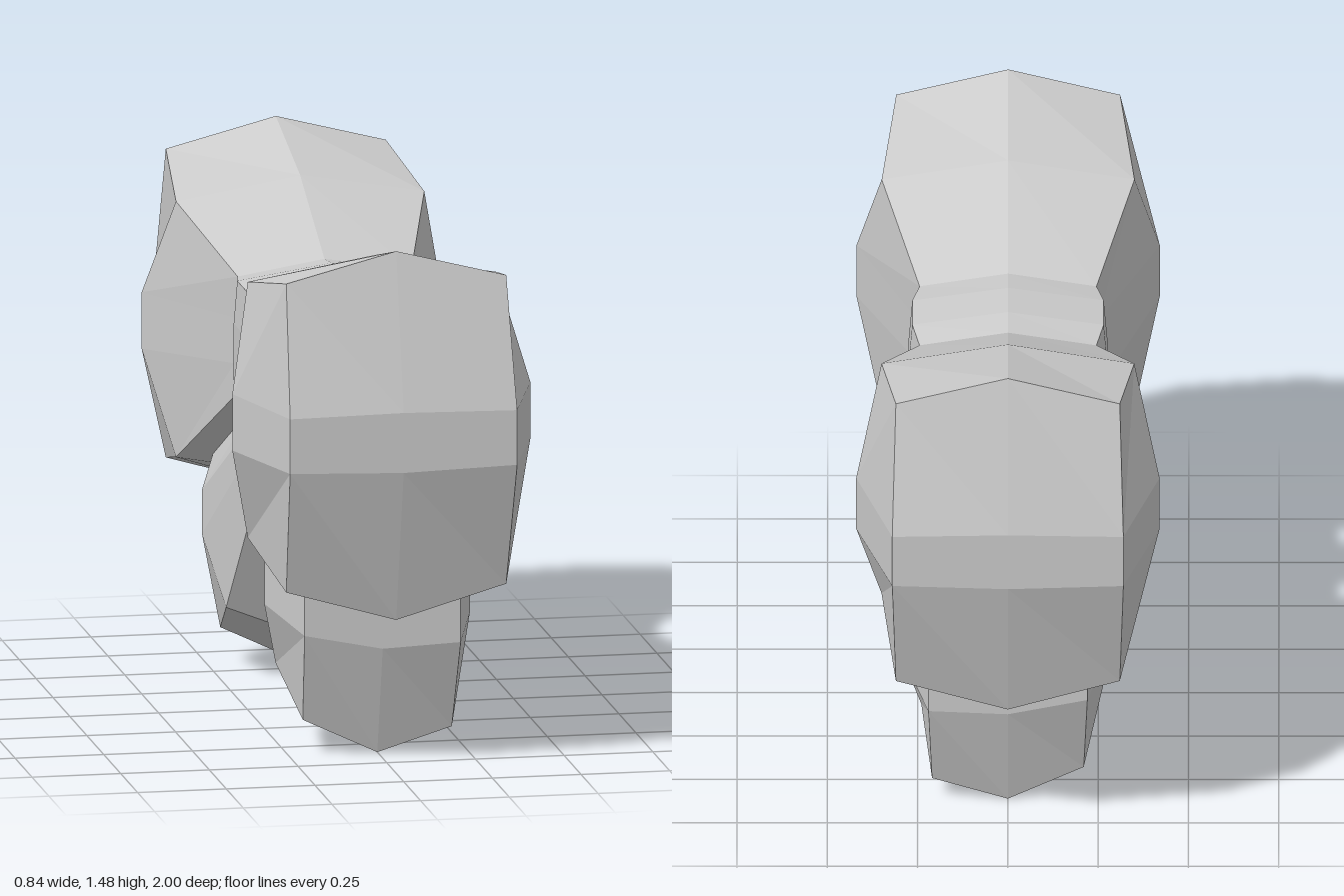
import * as THREE from 'three';

const material = new THREE.MeshStandardMaterial({ color: 0xcccccc, flatShading: true });

// One ten-point cross-section plus two middle points used by the end cap.
// top / bottom: [z, centre y, edge y]; mid: [z, upper y, lower y]
// edgeX / midX: half widths; lift raises the -x side
function section({ edgeX, midX, top, mid, bottom, lift = 0 }, sign) {
  const right = [
    [edgeX, top[2], top[0]],
    [midX, mid[1], mid[0]],
    [midX, mid[2], mid[0]],
    [edgeX, bottom[2], bottom[0]],
  ];
  const left = right.map(([x, y, z]) => [-x, y + lift, z]).reverse();
  const points = [
    [0, top[1], top[0]], ...right, [0, bottom[1], bottom[0]], ...left,
    [0, mid[1] + 0.005, mid[0]], [0, mid[2] - 0.01, mid[0]],
  ];
  return points.map(([x, y, z]) => [x, y, z * sign]);
}

// Skin a run of sections ordered from -z to +z, closing the chosen ends
function loft(name, sections, capBack, capFront) {
  const positions = [];
  const quad = (a, b, c, d) => positions.push(...a, ...b, ...c, ...a, ...c, ...d);

  for (let s = 0; s < sections.length - 1; s++) {
    const p = sections[s], q = sections[s + 1];
    for (let i = 0; i < 10; i++) {
      const j = (i + 1) % 10;
      quad(p[i], q[i], q[j], p[j]);
    }
  }
  const cap = (p, front) => {
    const columns = [[9, 8, 7, 6], [0, 10, 11, 5], [1, 2, 3, 4]];
    for (let c = 0; c < 2; c++) {
      for (let k = 0; k < 3; k++) {
        const corners = [columns[c][k], columns[c][k + 1], columns[c + 1][k + 1], columns[c + 1][k]];
        if (!front) corners.reverse();
        quad(...corners.map((i) => p[i]));
      }
    }
  };
  if (capBack) cap(sections[0], false);
  if (capFront) cap(sections[sections.length - 1], true);

  const geometry = new THREE.BufferGeometry();
  geometry.setAttribute('position', new THREE.Float32BufferAttribute(positions, 3));
  geometry.computeVertexNormals();
  const mesh = new THREE.Mesh(geometry, material);
  mesh.name = name;
  return mesh;
}

// A knot with a flared piece at each end, from four half profiles (outer to inner)
function flaredPair(name, knotName, partName, profiles) {
  const back = profiles.map((p) => section(p, -1));
  const front = profiles.map((p) => section(p, 1)).reverse();
  const all = [...back, ...front];
  const group = new THREE.Group();
  group.name = name;
  group.add(
    loft('back' + partName, all.slice(0, 3), true, false),
    loft(knotName, all.slice(2, 6), false, false),
    loft('front' + partName, all.slice(5), false, true),
  );
  return group;
}

export function createModel() {
  const model = new THREE.Group();
  model.name = 'ribbonBow';

  // Large upper loops and their knot
  model.add(flaredPair('loops', 'knot', 'Loop', [
    { edgeX: 0.31, midX: 0.32, top: [0.89, 1.48, 1.40], mid: [1.0, 1.04, 0.885], bottom: [0.89, 0.435, 0.525] },
    { edgeX: 0.35, midX: 0.42, top: [0.53, 1.39, 1.33], mid: [0.67, 1.045, 0.885], bottom: [0.53, 0.54, 0.605] },
    { edgeX: 0.245, midX: 0.25, top: [0.17, 1.23, 1.19], mid: [0.19, 1.07, 0.94], bottom: [0.17, 0.82, 0.86] },
    { edgeX: 0.265, midX: 0.275, top: [0.07, 1.24, 1.20], mid: [0.07, 1.08, 0.92], bottom: [0.07, 0.81, 0.85] },
  ]));

  // Smaller drooping tails joined under the knot
  model.add(flaredPair('tails', 'tailKnot', 'Tail', [
    { edgeX: 0.21, midX: 0.22, top: [0.645, 0.60, 0.555], mid: [0.69, 0.45, 0.32], bottom: [0.61, 0.0, 0.065], lift: 0.035 },
    { edgeX: 0.24, midX: 0.29, top: [0.50, 0.65, 0.61], mid: [0.46, 0.48, 0.355], bottom: [0.365, 0.115, 0.165], lift: 0.045 },
    { edgeX: 0.17, midX: 0.18, top: [0.16, 0.89, 0.87], mid: [0.135, 0.82, 0.76], bottom: [0.115, 0.69, 0.70] },
    { edgeX: 0.185, midX: 0.195, top: [0.06, 0.90, 0.88], mid: [0.06, 0.83, 0.77], bottom: [0.06, 0.685, 0.695] },
  ]));

  return model;
}
